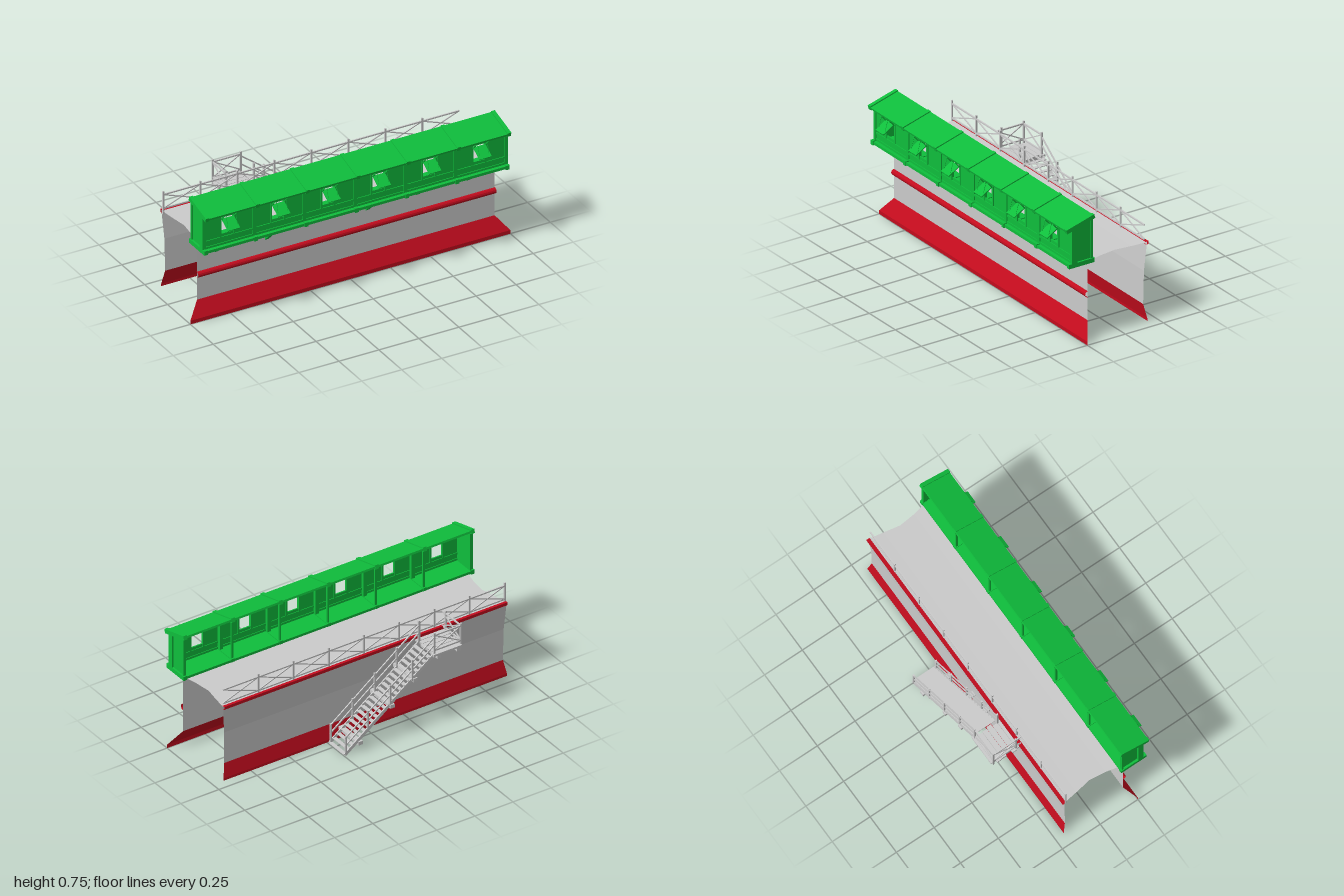
import * as THREE from 'three';

const GREY = 0xcccccc, GREEN = 0x0fbe3c, RED = 0xc40c1e;
const mats = {};
function mat(color, open = false) {
  const key = color + (open ? 'o' : '');
  return mats[key] ??= new THREE.MeshStandardMaterial({ color, flatShading: true, side: open ? THREE.DoubleSide : THREE.FrontSide });
}

export function createModel() {
  const root = new THREE.Group();
  root.name = 'wallSection';

  const group = (name) => {
    const g = new THREE.Group();
    g.name = name;
    root.add(g);
    return g;
  };
  const add = (parent, name, geometry, color, open) => {
    const m = new THREE.Mesh(geometry, mat(color, open));
    m.name = name;
    parent.add(m);
    return m;
  };
  // Axis-aligned box given by its ranges
  const box = (parent, name, color, [x0, x1], [y0, y1], [z0, z1]) =>
    add(parent, name, new THREE.BoxGeometry(x1 - x0, y1 - y0, z1 - z0), color)
      .position.set((x0 + x1) / 2, (y0 + y1) / 2, (z0 + z1) / 2);
  // Straight timber between two points
  const bar = (parent, name, color, a, b, w, h = w) => {
    const p = new THREE.Vector3(...a), q = new THREE.Vector3(...b);
    const m = add(parent, name, new THREE.BoxGeometry(w, h, p.distanceTo(q)), color);
    m.position.copy(p).lerp(q, 0.5);
    m.lookAt(q);
  };
  // Open sheet running along x, from rows of [half length, y, z]
  const sheet = (parent, name, color, rows) => {
    const pos = [], idx = [];
    rows.forEach(([x, y, z], i) => {
      pos.push(-x, y, z, x, y, z);
      if (i) {
        const k = 2 * i;
        idx.push(k - 2, k, k - 1, k - 1, k, k + 1);
      }
    });
    const g = new THREE.BufferGeometry();
    g.setAttribute('position', new THREE.Float32BufferAttribute(pos, 3));
    g.setIndex(idx);
    const flat = g.toNonIndexed();
    flat.computeVertexNormals();
    add(parent, name, flat, color, true);
  };

  // Stone wall: open sheets with flared red feet
  const wall = group('wall');
  sheet(wall, 'frontFace', GREY, [[0.93, 0.465, 0.2], [0.93, 0.11, 0.2]]);
  sheet(wall, 'frontFoot', RED, [[0.93, 0.11, 0.2], [1, 0.022, 0.25], [1, 0, 0.25]]);
  sheet(wall, 'walkway', GREY, [[0.93, 0.475, -0.19], [0.915, 0.47, -0.1], [0.897, 0.467, 0],
    [0.908, 0.465, 0.1], [0.93, 0.465, 0.2]]);
  sheet(wall, 'backFace', GREY, [[0.93, 0.475, -0.19], [0.918, 0.3, -0.178], [0.915, 0.1, -0.175]]);
  sheet(wall, 'backFoot', RED, [[0.915, 0.1, -0.175], [0.93, 0.015, -0.192], [0.93, 0, -0.192]]);
  const band = [];
  for (let i = 0; i <= 6; i++) {
    const t = Math.PI * i / 6;
    band.push([0.932, 0.267 + 0.018 * Math.cos(t), 0.2 + 0.018 * Math.sin(t)]);
  }
  sheet(wall, 'frontBand', RED, band);
  sheet(wall, 'backCoping', RED, [[0.93, 0.478, -0.18], [0.93, 0.48, -0.199], [0.93, 0.462, -0.199], [0.93, 0.46, -0.186]]);

  // Crossed timber fence panel between two foot points
  const panel = (parent, [xa, za], [xb, zb], y0, y1) => {
    bar(parent, 'topRail', GREY, [xa, y1, za], [xb, y1, zb], 0.008);
    bar(parent, 'bottomRail', GREY, [xa, y0, za], [xb, y0, zb], 0.008);
    bar(parent, 'brace', GREY, [xa, y0, za], [xb, y1, zb], 0.006);
    bar(parent, 'brace', GREY, [xa, y1, za], [xb, y0, zb], 0.006);
  };

  // Railing on the back edge, open at the landing
  const railing = group('railing');
  const zr = -0.178, pitch = 0.2312;
  for (let i = 0; i < 8; i++) {
    const x = -0.925 + i * pitch;
    box(railing, 'post', GREY, [x - 0.005, x + 0.005], [0.455, 0.598], [zr - 0.004, zr + 0.004]);
    panel(railing, [x, zr], [x + pitch, zr], 0.492, 0.578);
  }

  // Landing with planks, beams and railing
  const landing = group('landing');
  for (let i = 0; i < 6; i++) {
    const z = -0.2 - i * 0.033, j = 0.008 * Math.sin(i * 4.1);
    box(landing, 'plank', GREY, [-0.517 + j, -0.33 + j], [0.444, 0.456], [z - 0.015, z + 0.015]);
  }
  const zi = -0.218, zo = -0.365;
  for (const x of [-0.49, -0.36])
    box(landing, 'beam', GREY, [x - 0.012, x + 0.012], [0.42, 0.442], [-0.376, -0.145]);
  for (const [x, z] of [[-0.51, zi], [-0.51, zo], [-0.335, zo], [-0.335, zi]])
    box(landing, 'post', GREY, [x - 0.005, x + 0.005], [0.43, 0.588], [z - 0.005, z + 0.005]);
  panel(landing, [-0.51, -0.185], [-0.51, zo], 0.476, 0.572);
  panel(landing, [-0.51, zo], [-0.335, zo], 0.476, 0.572);

  // Stairs descending along the back face
  const stairs = group('stairs');
  const stairY = (x) => 0.45 * (0.255 - x) / 0.585;
  const steps = 22;
  for (let i = 0; i < steps; i++) {
    const x = 0.248 - i * 0.578 / steps, y = stairY(x) + 0.01;
    box(stairs, 'tread', GREY, [x - 0.011, x + 0.011], [y - 0.002, y + 0.002], [zo, zi]);
  }
  for (const z of [zi, zo]) {
    bar(stairs, 'stringer', GREY, [0.25, 0.014, z], [-0.335, 0.45, z], 0.007, 0.02);
    for (const lift of [0.06, 0.11])
      bar(stairs, 'handrail', GREY, [0.25, 0.01 + lift, z], [-0.335, 0.45 + lift, z], 0.007);
    for (const x of [0.245, 0.1, -0.045, -0.19])
      box(stairs, 'post', GREY, [x - 0.005, x + 0.005],
        [Math.max(0.008, stairY(x) - 0.01), stairY(x) + 0.125], [z - 0.005, z + 0.005]);
  }
  for (const x of [0.155, -0.055, -0.205]) {
    const y = stairY(x) - 0.018;
    box(stairs, 'beam', GREY, [x - 0.014, x + 0.014], [y - 0.011, y + 0.011], [-0.376, -0.145]);
  }

  // Roofed timber gallery overhanging the front
  const gallery = group('gallery');
  const frames = Array.from({ length: 7 }, (_, i) => -0.95 + i * 0.3145);
  const windows = frames.slice(0, 6).map((x) => x + 0.147);
  const [xa, xb] = [-0.95, 0.937];
  box(gallery, 'floor', GREEN, [xa, xb], [0.464, 0.48], [0.168, 0.33]);
  bar(gallery, 'roof', GREEN, [(xa + xb) / 2, 0.685, 0.348], [(xa + xb) / 2, 0.735, 0.167], xb - xa, 0.012);

  const face = new THREE.Shape([[xa, 0.48], [xb, 0.48], [xb, 0.685], [xa, 0.685]].map((p) => new THREE.Vector2(...p)));
  for (const x of windows) {
    const w = 0.038;
    face.holes.push(new THREE.Path([[x - w, 0.55], [x - w, 0.65], [x + w, 0.65], [x + w, 0.55]].map((p) => new THREE.Vector2(...p))));
  }
  const faceGeo = new THREE.ExtrudeGeometry(face, { depth: 0.008, bevelEnabled: false });
  add(gallery, 'frontWall', faceGeo, GREEN).position.z = 0.301;
  for (const y of [0.49, 0.527, 0.677])
    box(gallery, 'frontRail', GREEN, [xa, xb], [y - 0.006, y + 0.006], [0.297, 0.314]);

  const end = new THREE.Shape([[0.31, 0.48], [0.31, 0.69], [0.175, 0.726], [0.175, 0.48]].map((p) => new THREE.Vector2(...p)));
  const endGeo = new THREE.ExtrudeGeometry(end, { depth: 0.01, bevelEnabled: false }).rotateY(-Math.PI / 2);
  for (const x of [xa + 0.012, xb])
    add(gallery, 'endWall', endGeo, GREEN).position.x = x;

  for (const x of frames) {
    const wx = [x - 0.011, x + 0.011];
    box(gallery, 'floorBeam', GREEN, wx, [0.459, 0.485], [0.166, 0.334]);
    box(gallery, 'frontPost', GREEN, wx, [0.48, 0.69], [0.28, 0.315]);
    box(gallery, 'backPost', GREEN, [x - 0.006, x + 0.006], [0.48, 0.725], [0.175, 0.186]);
    bar(gallery, 'rafter', GREEN, [x, 0.685, 0.349], [x, 0.735, 0.166], 0.023, 0.025);
  }

  // Open shutters with struts and cords
  for (const x of windows) {
    bar(gallery, 'shutter', GREEN, [x, 0.645, 0.313], [x, 0.603, 0.383], 0.076, 0.006);
    for (const s of [-1, 1]) {
      bar(gallery, 'strut', GREEN, [x + s * 0.038, 0.642, 0.313], [x + s * 0.038, 0.678, 0.345], 0.006);
      bar(gallery, 'cord', GREEN, [x + s * 0.03, 0.678, 0.35], [x + s * 0.03, 0.617, 0.367], 0.002);
      box(gallery, 'windowJamb', GREEN, [x + s * 0.042 - 0.005, x + s * 0.042 + 0.005], [0.533, 0.67], [0.297, 0.313]);
    }
  }

  // Slanted braces from the floor into the wall
  const feet = [0.35, 0.333, 0.37, 0.34, 0.35, 0.35];
  feet.forEach((y, i) => {
    const x = windows[i] - 0.005;
    bar(gallery, 'wallBrace', GREEN, [x, 0.462, 0.283], [x, y + 0.004, 0.162], 0.022, 0.018);
  });

  return root;
}
